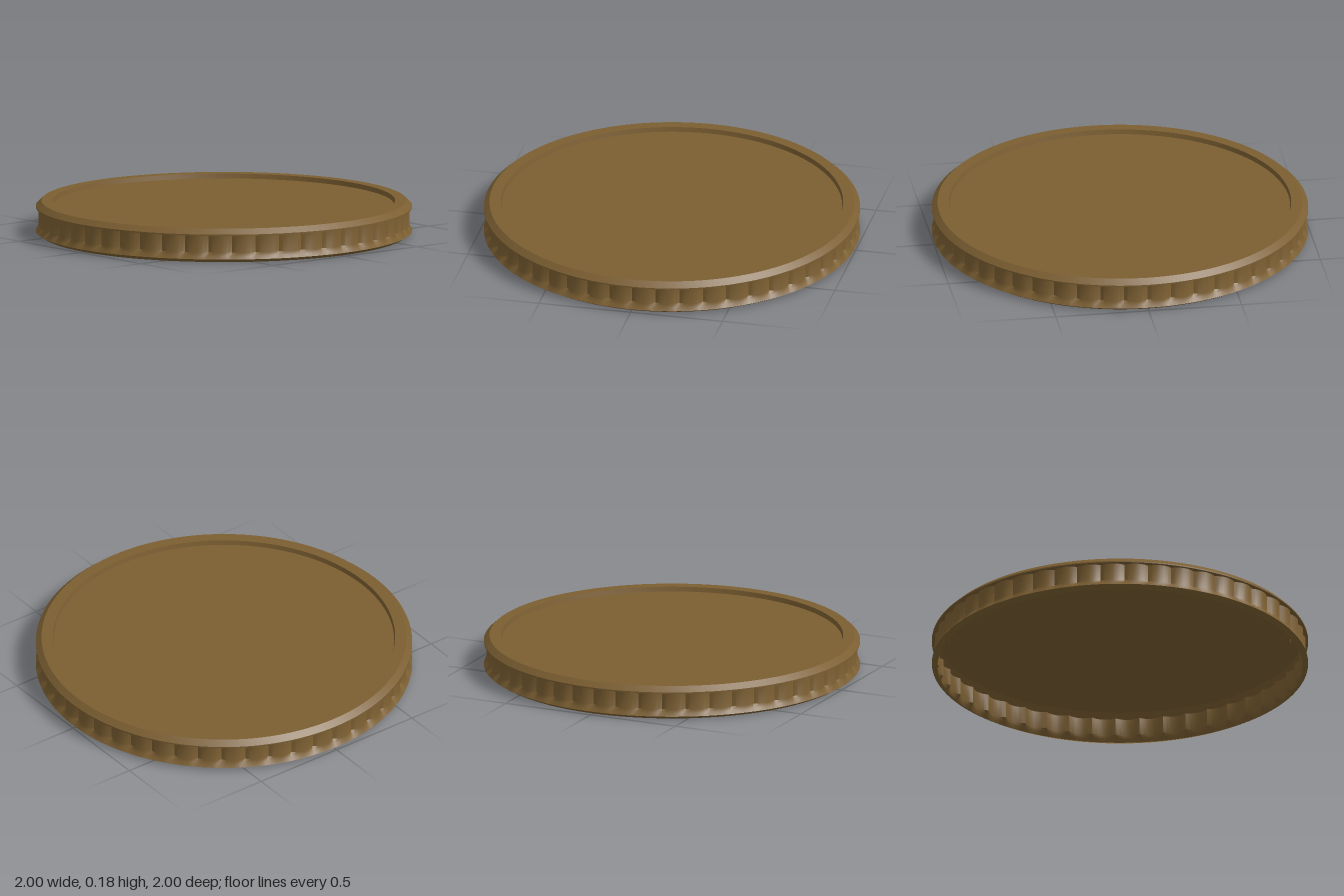
import * as THREE from 'three';
import { toCreasedNormals } from 'three/addons/utils/BufferGeometryUtils.js';

const SCALLOPS = 48;
const STEPS = 6; // facets across each scallop

// Surface of revolution from a bottom-to-top outline
function lathe(name, outline, material) {
  const points = outline.map(([r, y]) => new THREE.Vector2(r, y));
  const geometry = toCreasedNormals(new THREE.LatheGeometry(points, 144), 0.4);
  const mesh = new THREE.Mesh(geometry, material);
  mesh.name = name;
  return mesh;
}

// Ring of outward bulges; rows are [radius, height, depth of the grooves]
function scallopedRing(name, rows, material) {
  const n = SCALLOPS * STEPS;
  const positions = [];
  const index = [];
  for (const [radius, y, depth] of rows) {
    for (let i = 0; i < n; i++) {
      const t = ((i % STEPS) / STEPS) * 2 - 1; // -1 at the groove, 0 at the crest
      const r = radius - depth * t * t;
      const a = (i / n) * Math.PI * 2;
      positions.push(r * Math.sin(a), y, r * Math.cos(a));
    }
  }
  for (let j = 0; j < rows.length - 1; j++) {
    for (let i = 0; i < n; i++) {
      const k = (i + 1) % n;
      const a = j * n + i, b = j * n + k, c = a + n, d = b + n;
      index.push(a, b, d, a, d, c);
    }
  }
  const geometry = new THREE.BufferGeometry();
  geometry.setAttribute('position', new THREE.Float32BufferAttribute(positions, 3));
  geometry.setIndex(index);
  const mesh = new THREE.Mesh(toCreasedNormals(geometry, 0.6), material);
  mesh.name = name;
  return mesh;
}

export function createModel() {
  const bronze = new THREE.MeshStandardMaterial({ color: 0x7c5f32, side: THREE.DoubleSide });
  bronze.name = 'bronze';

  const model = new THREE.Group();
  model.name = 'scallopedLid';

  // Recessed top panel
  model.add(lathe('topPanel', [[0.905, 0.155], [0, 0.155]], bronze));

  // Raised bevelled rim around the panel
  model.add(lathe('topRim', [[1, 0.145], [1, 0.152], [0.97, 0.18], [0.91, 0.18], [0.905, 0.155]], bronze));

  // Scalloped skirt, flaring into the lip below and tucked under the rim above
  model.add(scallopedRing('scallopedSkirt', [
    [1, 0.018, 0],
    [0.991, 0.034, 0.006],
    [0.986, 0.052, 0.02],
    [0.986, 0.145, 0.02],
    [1, 0.145, 0],
  ], bronze));

  // Bevelled lip around the open underside
  model.add(lathe('bottomLip', [[0.97, 0], [1, 0.018]], bronze));

  return model;
}
